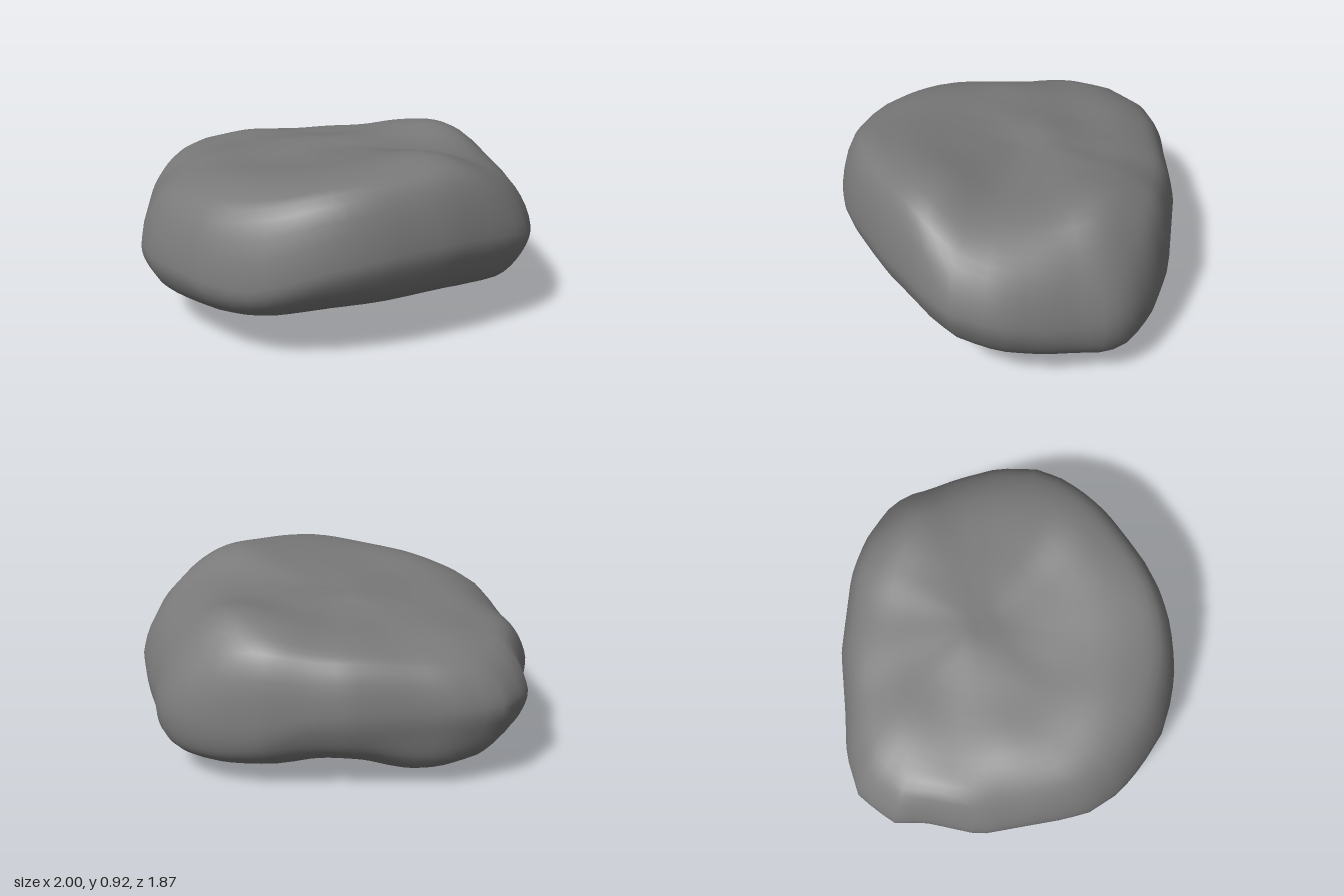
import * as THREE from 'three';
import { mergeVertices } from 'three/addons/utils/BufferGeometryUtils.js';

// Widest outline seen from above as [x, z], starting at the front (+z) and turning towards +x
const OUTLINE = [
  [0, .93], [.2, .925], [.4, .89], [.55, .86], [.69, .8], [.83, .64], [.91, .42], [.95, .25], [1, .12],
  [.975, -.02], [.87, -.2], [.71, -.385], [.38, -.63], [.1, -.77], [-.1, -.88], [-.31, -.935], [-.52, -.86],
  [-.6, -.73], [-.8, -.53], [-.88, -.33], [-.96, -.13], [-1, 0], [-1, .18], [-.95, .35], [-.87, .53],
  [-.75, .68], [-.63, .78], [-.47, .86], [-.31, .91], [-.15, .93],
];

// Heights every 22.5 degrees at a fraction of the radius, from the top down
const RINGS = [
  [.12, Array(16).fill(.82)],
  [.38, [.86, .86, .83, .82, .82, .81, .79, .78, .77, .77, .78, .79, .80, .81, .83, .85]],
  [.70, [.91, .92, .82, .80, .84, .81, .76, .74, .72, .73, .73, .75, .77, .81, .84, .88]],
  [.90, [.86, .85, .71, .65, .64, .71, .68, .67, .64, .63, .67, .63, .67, .71, .76, .84]],
  [1.0, [.58, .57, .50, .41, .39, .39, .44, .46, .46, .46, .47, .46, .43, .44, .43, .54]],
  [.98, [.47, .46, .38, .28, .21, .24, .33, .33, .32, .33, .35, .34, .32, .34, .34, .44]],
  [.90, [.34, .33, .25, .18, .13, .16, .22, .21, .15, .18, .24, .21, .21, .24, .26, .33]],
  [.65, [.19, .18, .14, .08, .06, .07, .11, .10, .05, .05, .07, .08, .11, .13, .16, .19]],
  [.35, [.08, .06, .03, .01, .01, .02, .03, .04, .04, .03, .03, .03, .05, .06, .07, .08]],
  [.10, Array(16).fill(.025)],
];
const TOP = .82, BOTTOM = .025;
const COLS = 80, ROWS = 48;

// Smooth periodic lookup in a table, u in 0..1
function around(table, u) {
  const n = table.length, f = u * n, i = Math.floor(f), t = f - i;
  const [a, b, c, d] = [-1, 0, 1, 2].map(k => table[(i + k + n) % n]);
  return b + .5 * t * (c - a + t * (2 * a - 5 * b + 4 * c - d + t * (3 * (b - c) + d - a)));
}

// Distance from the centre to the outline in the direction of an angle
function radiusAt(angle) {
  const dx = Math.sin(angle), dz = Math.cos(angle);
  for (let i = 0; i < OUTLINE.length; i++) {
    const [ax, az] = OUTLINE[i], [bx, bz] = OUTLINE[(i + 1) % OUTLINE.length];
    const sideA = ax * dz - az * dx, sideB = bx * dz - bz * dx;
    if (sideA <= 1e-9 && sideB > 1e-9) {
      const t = sideA / (sideA - sideB);
      return (ax + (bx - ax) * t) * dx + (az + (bz - az) * t) * dz;
    }
  }
}

// Vertical profile of the stone in one direction, from top centre to bottom centre;
// corners of the outline soften towards the middle
function profile(u) {
  const angle = u * Math.PI * 2, sharp = radiusAt(angle);
  const soft = [-.3, -.15, 0, .15, .3].reduce((sum, d) => sum + radiusAt(angle + d) / 5, 0);
  const points = [
    new THREE.Vector3(0, TOP, 0),
    ...RINGS.map(([fraction, heights]) => {
      const r = THREE.MathUtils.lerp(soft, sharp, fraction ** 4);
      return new THREE.Vector3(r * fraction, around(heights, u), 0);
    }),
    new THREE.Vector3(0, BOTTOM, 0),
  ];
  return new THREE.CatmullRomCurve3(points, false, 'centripetal').getPoints(ROWS);
}

function boulderGeometry() {
  const positions = [], index = [];
  for (let j = 0; j < COLS; j++) {
    const angle = (j / COLS) * Math.PI * 2;
    for (const p of profile(j / COLS)) {
      positions.push(p.x * Math.sin(angle), p.y, p.x * Math.cos(angle));
    }
  }
  const at = (i, j) => (j % COLS) * (ROWS + 1) + i;
  for (let j = 0; j < COLS; j++) {
    for (let i = 0; i < ROWS; i++) {
      if (i < ROWS - 1) index.push(at(i, j), at(i + 1, j), at(i + 1, j + 1));
      if (i > 0) index.push(at(i, j), at(i + 1, j + 1), at(i, j + 1));
    }
  }
  const geometry = new THREE.BufferGeometry();
  geometry.setAttribute('position', new THREE.Float32BufferAttribute(positions, 3));
  geometry.setIndex(index);
  const merged = mergeVertices(geometry, 1e-5);
  merged.computeBoundingBox();
  merged.translate(0, -merged.boundingBox.min.y, 0);
  merged.computeVertexNormals();
  return merged;
}

export function createModel() {
  const group = new THREE.Group();
  group.name = 'rock';
  const boulder = new THREE.Mesh(boulderGeometry(), new THREE.MeshStandardMaterial({ color: 0x7a7a7a }));
  boulder.name = 'boulder';
  group.add(boulder);
  return group;
}
